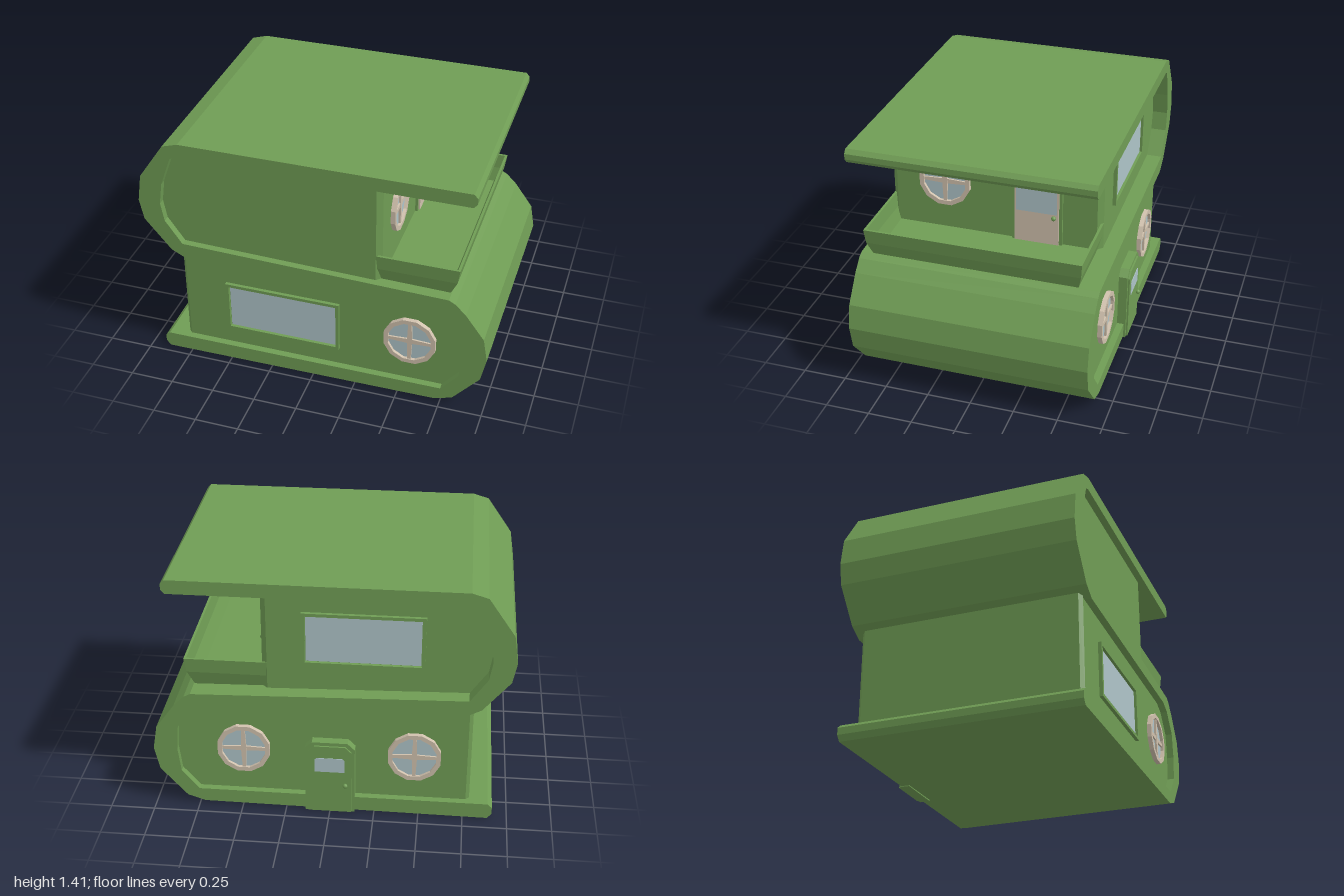
import * as THREE from 'three';

const mat = (name, color) => {
  const m = new THREE.MeshStandardMaterial({ color });
  m.name = name;
  return m;
};
const green = mat('green', 0x6f9c54);
const cream = mat('cream', 0xd0c1ad);
const glass = mat('glass', 0xaec4c8);

const shapeOf = (pts) => new THREE.Shape(pts.map(([x, y]) => new THREE.Vector2(x, y)));

function mesh(name, geometry, material, parent) {
  const m = new THREE.Mesh(geometry, material);
  m.name = name;
  parent.add(m);
  return m;
}

// Extrude a flat shape from z0 to z1
function slab(shape, z0, z1) {
  return new THREE.ExtrudeGeometry(shape, { depth: z1 - z0, bevelEnabled: false }).translate(0, 0, z0);
}

function rect(x0, x1, y0, y1) {
  return shapeOf([[x0, y0], [x1, y0], [x1, y1], [x0, y1]]);
}

// Upright outline with its two top corners cut off
function arched(hw, y0, y1, cut) {
  return shapeOf([[-hw, y0], [hw, y0], [hw, y1 - cut], [hw - cut, y1], [cut - hw, y1], [-hw, y1 - cut]]);
}

// Twelve-sided outline with a flat top
function dodecagon(r) {
  return Array.from({ length: 12 }, (_, i) => {
    const a = (i + 0.5) * Math.PI / 6;
    return [r * Math.cos(a), r * Math.sin(a)];
  });
}

function fixture(name, parent, x, y, z, turn) {
  const g = new THREE.Group();
  g.name = name;
  g.position.set(x, y, z);
  g.rotation.y = turn;
  parent.add(g);
  return g;
}

function roundWindow(name, parent, x, y, z, turn) {
  const g = fixture(name, parent, x, y, z, turn);
  const ring = shapeOf(dodecagon(0.152));
  ring.holes.push(shapeOf(dodecagon(0.126)));
  mesh('rim', slab(ring, -0.01, 0.026), cream, g);
  mesh('pane', slab(shapeOf(dodecagon(0.13)), 0, 0.008), glass, g);
  // Crossing bars that narrow towards the rim
  const bar = shapeOf([[-0.13, -0.009], [0, -0.015], [0.13, -0.009], [0.13, 0.009], [0, 0.015], [-0.13, 0.009]]);
  for (let i = 0; i < 2; i++) {
    mesh('bar', slab(bar, 0, 0.018 + i * 0.002), cream, g).rotation.z = i * Math.PI / 2;
  }
}

function wideWindow(name, parent, x, y, z, turn) {
  const g = fixture(name, parent, x, y, z, turn);
  const frame = rect(-0.337, 0.337, -0.158, 0.158);
  frame.holes.push(rect(-0.318, 0.318, -0.14, 0.14));
  mesh('frame', slab(frame, -0.01, 0.02), green, g);
  mesh('pane', slab(rect(-0.314, 0.314, -0.136, 0.136), 0, 0.006), glass, g);
}

function door(name, parent, x, y, z, turn, o) {
  const g = fixture(name, parent, x, y, z, turn);
  mesh('frame', slab(arched(o.hw, 0, o.top, 0.04), -0.01, o.depth), green, g);
  mesh('panel', slab(arched(o.hw - 0.018, 0.003, o.top - 0.02, 0.035), 0, o.depth + 0.01), o.panel, g);
  const [hw, y0, y1, cut] = o.pane;
  mesh('pane', slab(arched(hw, y0, y1, cut), o.depth + 0.007, o.depth + 0.013), glass, g);
  const knob = mesh('knob', new THREE.SphereGeometry(0.014, 8, 6), green, g);
  knob.position.set(o.knob[0], o.knob[1], o.depth + 0.018);
}

// End wall with cut vertical corners, from x0 out to x1
function endWall(parent, name, x0, x1, y0, y1, zBack, zFront, cut) {
  const plan = shapeOf([[x0, -zFront], [x1, cut - zFront], [x1, -zBack - cut], [x0, -zBack]]);
  const geo = slab(plan, y0, y1).rotateX(-Math.PI / 2);
  mesh(name, geo, green, parent);
}

// Open-backed parapet lofted through stacked U-shaped sections
function balconyGeometry() {
  const t = 0.014;
  const outer = [[0.765, 0.715, -0.54, 0.63], [0.805, 0.805, -0.563, 0.653], [0.818, 0.89, -0.57, 0.66]];
  const inner = outer.map(([x, y, a, b]) => [x - t, y, a + t, b - t]).reverse();
  const rows = [...outer, ...inner].map(([x, y, a, b]) =>
    [[0.356, y, b], [x, y, b], [x, y, a], [0.356, y, a]]);
  const pos = [];
  for (let r = 0; r < rows.length - 1; r++) {
    for (let i = 0; i < 3; i++) {
      const a = rows[r][i], b = rows[r][i + 1], c = rows[r + 1][i + 1], d = rows[r + 1][i];
      pos.push(...a, ...b, ...c, ...a, ...c, ...d);
    }
  }
  const geo = new THREE.BufferGeometry();
  geo.setAttribute('position', new THREE.Float32BufferAttribute(pos, 3));
  geo.computeVertexNormals();
  return geo;
}

export function createModel() {
  const house = new THREE.Group();
  house.name = 'house';

  // Inner curves of the two loops, shared by the shell and the rooms
  const upperInner = [[-0.757, 1.33], [-0.79, 1.312], [-0.853, 1.14], [-0.872, 1.01], [-0.853, 0.9], [-0.757, 0.762]];
  const lowerInner = [[0.75, 0.093], [0.848, 0.21], [0.865, 0.355], [0.853, 0.505], [0.757, 0.618], [0.68, 0.65]];

  // S-shaped shell: roof, middle floor and base in one band
  const shell = shapeOf([
    [0.875, 1.41], [-0.74, 1.41], [-0.83, 1.383], [-0.976, 1.17], [-1, 1.01], [-0.976, 0.89], [-0.826, 0.71], [-0.74, 0.665],
    ...[...lowerInner].reverse(),
    [-0.89, 0.093], [-0.915, 0.07], [-0.915, 0.03], [-0.89, 0],
    [0.72, 0.012], [0.82, 0.045], [0.97, 0.217], [1, 0.355], [0.976, 0.495], [0.87, 0.64], [0.81, 0.7], [0.773, 0.72],
    ...[...upperInner].reverse(),
    [0.875, 1.33], [0.895, 1.355], [0.895, 1.387],
  ]);
  mesh('shell', slab(shell, -0.66, 0.7), green, house);

  // Rooms set back inside the shell
  mesh('upperRoom', slab(shapeOf([[0.355, 1.33], ...upperInner, [0.355, 0.732]]), -0.57, 0.66), green, house);
  endWall(house, 'upperEndWall', 0.355, 0.385, 0.725, 1.335, -0.57, 0.66, 0.03);
  mesh('lowerRoom', slab(shapeOf([[-0.765, 0.093], ...lowerInner, [-0.765, 0.666]]), -0.62, 0.66), green, house);
  // The outward side of this wall faces left, so turn it half round
  const lowerEnd = new THREE.Group();
  lowerEnd.name = 'lowerEnd';
  lowerEnd.rotation.y = Math.PI;
  house.add(lowerEnd);
  endWall(lowerEnd, 'lowerEndWall', 0.765, 0.785, 0.085, 0.69, -0.66, 0.62, 0.02);

  mesh('balcony', balconyGeometry(), green, house);

  // Windows
  wideWindow('frontWideWindow', house, -0.187, 0.361, 0.66, 0);
  wideWindow('backWideWindow', house, -0.175, 1.055, -0.57, Math.PI);
  roundWindow('frontRoundWindow', house, 0.56, 0.368, 0.66, 0);
  roundWindow('balconyRoundWindow', house, 0.385, 1.032, 0.337, Math.PI / 2);
  for (const x of [0.49, -0.47]) {
    roundWindow('backRoundWindow', house, x, 0.368, -0.62, Math.PI);
  }

  // Doors
  door('balconyDoor', house, 0.385, 0.73, -0.2, Math.PI / 2, {
    hw: 0.145, top: 0.43, depth: 0.015, panel: cream, pane: [0.117, 0.195, 0.395, 0.02], knob: [0.1, 0.175],
  });
  door('backDoor', house, 0, 0, -0.62, Math.PI, {
    hw: 0.14, top: 0.455, depth: 0.052, panel: green, pane: [0.085, 0.27, 0.36, 0.012], knob: [0.088, 0.185],
  });

  return house;
}
